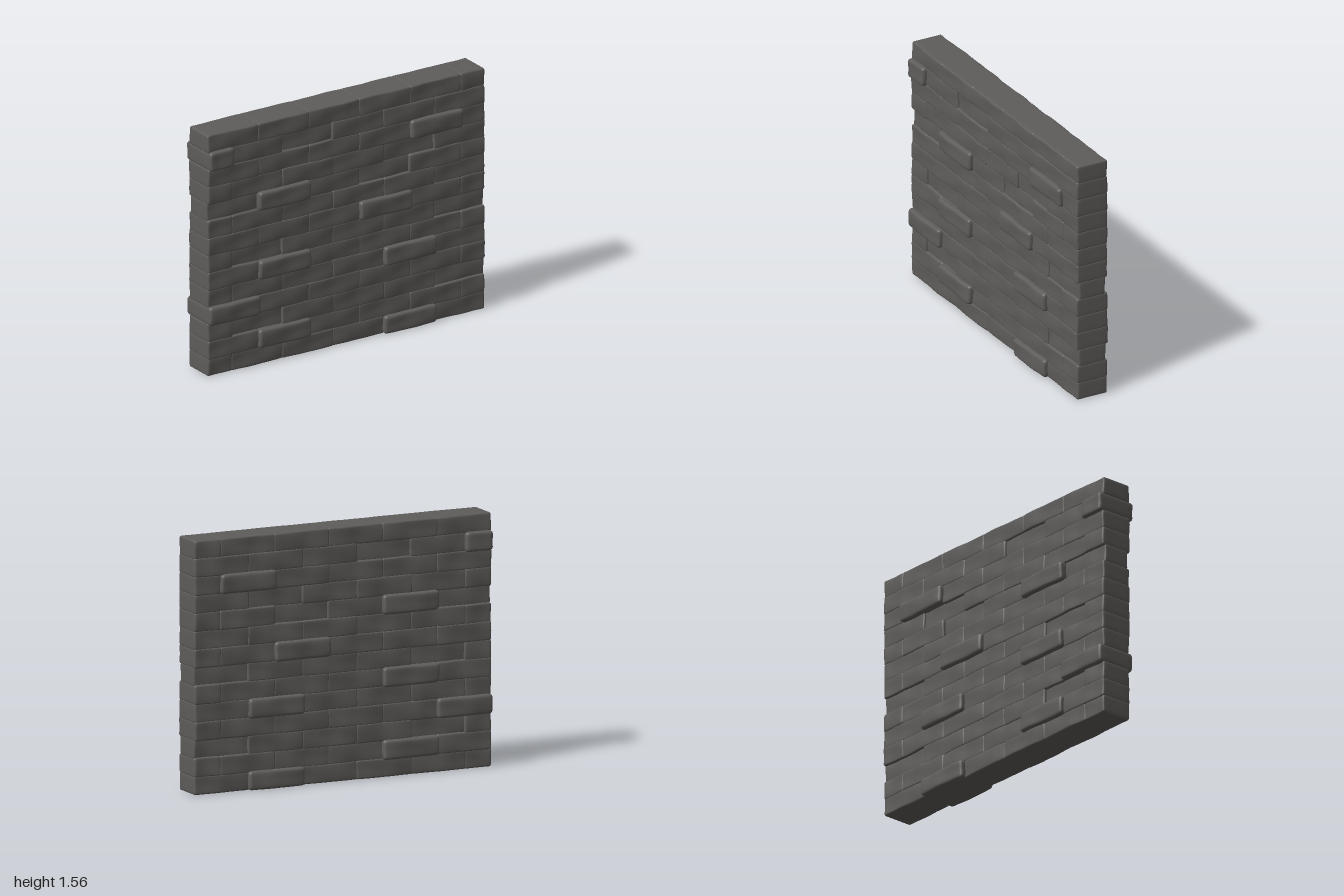
import * as THREE from 'three';
import { mergeVertices } from 'three/addons/utils/BufferGeometryUtils.js';

const ROWS = 14, HEIGHT = 1.56, ROW_H = HEIGHT / ROWS;
const EDGES_ODD = [-1, -0.635, -0.27, 0.095, 0.46, 0.825, 1];
const EDGES_EVEN = EDGES_ODD.map((x) => -x).reverse();

// Bricks standing proud of the wall and bricks set back, as 'row:column'
const PROUD = new Set(['0:4', '1:1', '3:0', '4:4', '5:1', '7:3', '9:1', '11:4', '12:0']);
const SUNK = new Set(['2:5', '6:5', '6:1', '9:0', '9:3', '10:4', '12:2', '2:1']);

const hash = (a, b) => {
  const s = Math.sin(a * 12.99 + b * 78.23) * 43758.5;
  return s - Math.floor(s);
};
const lumps = (x, y) =>
  0.0025 * Math.sin(x * 17 + y * 9) + 0.002 * Math.sin(y * 41 - x * 11) + 0.0015 * Math.sin(x * 37 + 2);

// Rounded, slightly uneven stone block spanning the full wall thickness
function blockGeometry(x0, x1, y0, y1, halfDepth, radius) {
  const w = x1 - x0, h = y1 - y0, d = halfDepth * 2;
  let geo = new THREE.BoxGeometry(w, h, d, 14, 8, 10);
  geo.deleteAttribute('normal');
  geo.deleteAttribute('uv');
  geo = mergeVertices(geo);
  const pos = geo.attributes.position;
  const half = new THREE.Vector3(w / 2, h / 2, halfDepth);
  const inner = half.clone().subScalar(radius);
  const p = new THREE.Vector3(), core = new THREE.Vector3();
  const counts = { x: 14, y: 8, z: 10 };
  for (let i = 0; i < pos.count; i++) {
    p.fromBufferAttribute(pos, i);
    // Gather the outer two grid lines of each axis into the rounded rim
    for (const k of ['x', 'y', 'z']) {
      const n = counts[k], j = Math.round((p[k] / half[k] + 1) * n / 2);
      const fromEdge = Math.min(j, n - j), side = j < n / 2 ? -1 : 1;
      if (fromEdge < 2) p[k] = side * (half[k] - radius * fromEdge * 0.45);
      else p[k] = inner[k] * ((j - 2) / (n - 4) * 2 - 1);
    }
    core.copy(p).clamp(inner.clone().negate(), inner);
    p.sub(core);
    if (p.lengthSq() > 0) p.setLength(radius);
    p.add(core);
    const x = p.x + (x0 + x1) / 2, y = p.y + (y0 + y1) / 2;
    p.z *= 1 + lumps(x, y) / halfDepth;
    pos.setXYZ(i, x, y, p.z);
  }
  geo.computeVertexNormals();
  return geo;
}

export function createModel() {
  const wall = new THREE.Group();
  wall.name = 'stoneWall';
  const stone = new THREE.MeshStandardMaterial({ color: 0x5f5d5b });
  stone.name = 'dark grey stone';

  // Solid core filling the joints
  const core = new THREE.Mesh(new THREE.BoxGeometry(1.985, HEIGHT - 0.015, 0.19), stone);
  core.name = 'wallCore';
  core.position.y = HEIGHT / 2;
  // The core is kept behind the set-back bricks
  core.scale.z = 0.88;
  wall.add(core);

  // Staggered courses, closely fitted
  const lap = 0.005;
  for (let r = 0; r < ROWS; r++) {
    const course = new THREE.Group();
    course.name = `course${r + 1}`;
    const edges = r % 2 ? EDGES_ODD : EDGES_EVEN;
    for (let c = 0; c < edges.length - 1; c++) {
      const key = `${r}:${c}`;
      const proud = PROUD.has(key), sunk = SUNK.has(key);
      const depth = proud ? 0.134 : sunk ? 0.092 : 0.103 + 0.006 * hash(r, c);
      const geo = blockGeometry(
        Math.max(-1, edges[c] - lap), Math.min(1, edges[c + 1] + lap),
        Math.max(0, r * ROW_H - lap), Math.min(HEIGHT, (r + 1) * ROW_H + lap),
        depth, proud ? 0.02 : 0.013);
      const brick = new THREE.Mesh(geo, stone);
      brick.name = proud ? 'proudBrick' : sunk ? 'sunkBrick' : 'brick';
      course.add(brick);
    }
    wall.add(course);
  }
  return wall;
}
